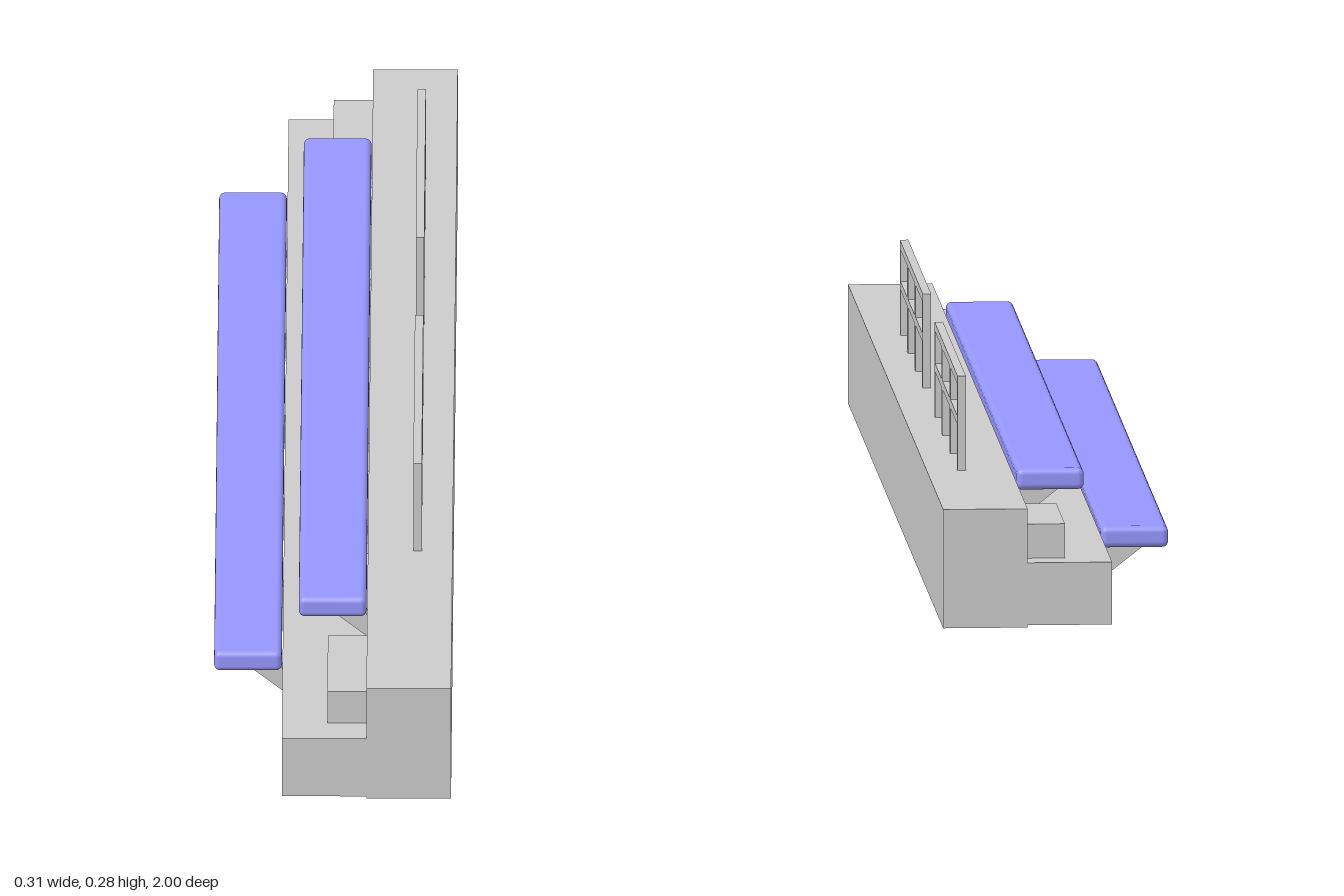
import * as THREE from 'three';
import { RoundedBoxGeometry } from 'three/addons/geometries/RoundedBoxGeometry.js';

export function createModel() {
  const model = new THREE.Group();
  model.name = 'terraceSeating';
  const grey = new THREE.MeshStandardMaterial({ color: 0xcccccc });
  const blue = new THREE.MeshStandardMaterial({ color: 0x9696ff });

  const add = (parent, name, geometry, material = grey) => {
    const mesh = new THREE.Mesh(geometry, material);
    mesh.name = name;
    parent.add(mesh);
    return mesh;
  };
  // Box given by its minimum and maximum along each axis
  const box = (parent, name, x0, x1, y0, y1, z0, z1) =>
    add(parent, name, new THREE.BoxGeometry(x1 - x0, y1 - y0, z1 - z0))
      .position.set((x0 + x1) / 2, (y0 + y1) / 2, (z0 + z1) / 2);

  // Stepped concrete terrace
  box(model, 'upperTerrace', 0.044, 0.154, 0, 0.156, -1, 1);
  box(model, 'lowerTerrace', -0.066, 0.044, 0.003, 0.085, -1, 1);

  // Small half-height steps at both ends
  box(model, 'backStep', -0.007, 0.044, 0.085, 0.13, -0.96, -0.78);
  box(model, 'frontStep', -0.007, 0.044, 0.085, 0.13, 0.77, 0.95);

  // Bench bracket: sloping profile extruded along z
  const bracketWidth = 0.02;
  const profile = new THREE.Shape([
    new THREE.Vector2(-0.14, 0.068),
    new THREE.Vector2(-0.066, 0.01),
    new THREE.Vector2(-0.066, 0.04),
    new THREE.Vector2(-0.085, 0.068),
  ]);
  const bracketGeometry = new THREE.ExtrudeGeometry(profile, { depth: bracketWidth, bevelEnabled: false });
  bracketGeometry.translate(0, 0, -bracketWidth / 2);
  const seatGeometry = new RoundedBoxGeometry(0.088, 0.028, 1.492, 3, 0.008);

  // Two benches, each a cushioned plank on a row of brackets
  [['lowerBench', 0, 0], ['upperBench', 0.11, 0.077]].forEach(([name, x, y]) => {
    const bench = new THREE.Group();
    bench.name = name;
    bench.position.set(x, y, 0);
    add(bench, 'seat', seatGeometry, blue).position.set(-0.111, 0.08, -0.003);
    for (let i = 0; i < 6; i++) {
      add(bench, 'bracket', bracketGeometry).position.z = -0.665 + i * 0.266;
    }
    model.add(bench);
  });

  // Two railings, each three bays with their own end posts
  const bay = 0.16, bar = 0.011;
  [['frontRailing', 0.315], ['backRailing', -0.415]].forEach(([name, z]) => {
    const railing = new THREE.Group();
    railing.name = name;
    railing.position.set(0.1085, 0, z);
    const half = bar / 2, end = bay * 1.5;
    for (const y of [0.216, 0.269]) box(railing, 'rail', -half, half, y, y + bar, -end, end);
    for (let i = 0; i < 3; i++) {
      const start = -end + i * bay;
      box(railing, 'post', -half, half, 0.156, 0.28, start, start + bar);
      box(railing, 'post', -half, half, 0.156, 0.28, start + bay - bar, start + bay);
    }
    model.add(railing);
  });

  return model;
}
